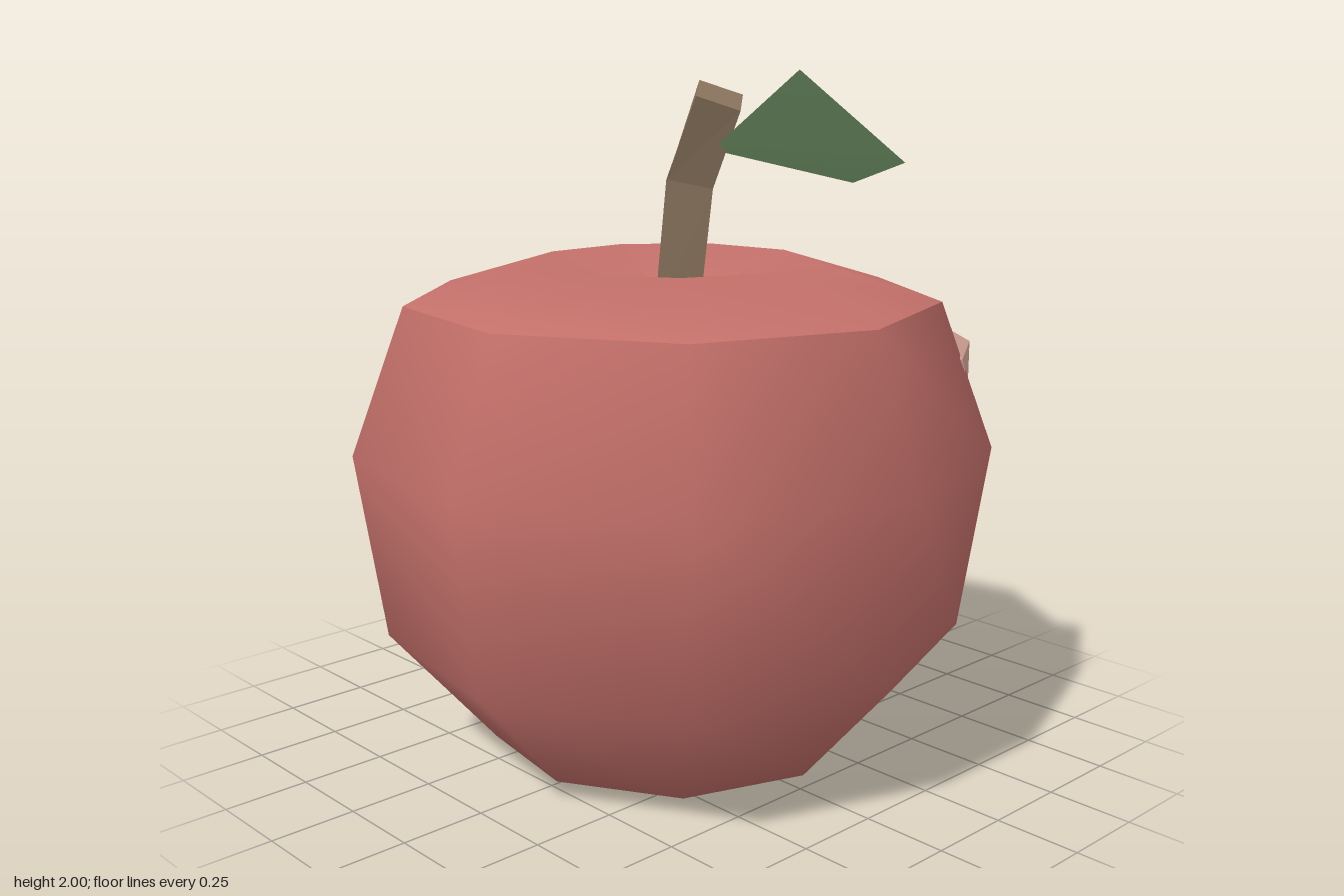
import * as THREE from 'three';
import { ConvexGeometry } from 'three/addons/geometries/ConvexGeometry.js';

const material = (name, color, side = THREE.FrontSide) => {
  const m = new THREE.MeshStandardMaterial({ color, side });
  m.name = name;
  return m;
};

export function createModel() {
  const group = new THREE.Group();
  group.name = 'apple';
  const red = material('apple red', 0xc4706a);
  const brown = material('stem brown', 0x8a745e);
  const green = material('leaf green', 0x88b07c, THREE.DoubleSide);
  const flesh = material('pale flesh', 0xd6a595);

  const add = (name, geometry, mat) => {
    const mesh = new THREE.Mesh(geometry, mat);
    mesh.name = name;
    group.add(mesh);
    return mesh;
  };

  // Nine-sided smooth fruit, with a sharp rim between skin and crown
  const lathe = (points) => new THREE.LatheGeometry(
    points.map(([r, y]) => new THREE.Vector2(r, y)), 9, Math.PI / 2);
  const skin = add('skin', lathe([[0, 0], [0.54, 0.045], [0.845, 0.39], [0.925, 0.93], [0.77, 1.35]]), red);
  const crown = add('crown', lathe([[0.77, 1.35], [0.4, 1.46], [0, 1.31]]), red);
  skin.position.x = crown.position.x = -0.03;

  // Bent stem: diamond sections [left, front/back and right corners as x, y]
  const sections = [
    [[-0.103, 1.28], [-0.013, 1.28], [0.077, 1.28]],
    [[-0.035, 1.72], [0.042, 1.695], [0.135, 1.67]],
    [[0.08, 1.965], [0.16, 1.925], [0.24, 1.885]],
  ];
  const rings = sections.map(([l, m, r]) => [
    [...l, 0], [...m, 0.09], [...r, 0], [...m, -0.09]]);
  const stem = [];
  const quad = (a, b, c, d) => stem.push(...a, ...b, ...c, ...a, ...c, ...d);
  for (let s = 0; s < 2; s++) {
    for (let i = 0; i < 4; i++) {
      const j = (i + 1) % 4;
      quad(rings[s][i], rings[s][j], rings[s + 1][j], rings[s + 1][i]);
    }
  }
  quad(...rings[2]);
  quad(...[...rings[0]].reverse());
  const stemGeometry = new THREE.BufferGeometry();
  stemGeometry.setAttribute('position', new THREE.Float32BufferAttribute(stem, 3));
  stemGeometry.computeVertexNormals();
  add('stem', stemGeometry, brown);

  // Leaf folded along its midrib
  const leaf = new THREE.BufferGeometry();
  leaf.setAttribute('position', new THREE.Float32BufferAttribute([
    0.13, 1.777, 0, 0.66, 2, 0.225, 0.81, 1.775, 0, 0.51, 1.7, -0.155], 3));
  leaf.setIndex([0, 1, 2, 0, 2, 3]);
  leaf.computeVertexNormals();
  add('leaf', leaf, green);

  // Pale faceted chip set into the back of the fruit
  const chip = [
    [0.62, 1.19, -0.52], [0.62, 1.13, -0.54], [0.49, 1.2, -0.725],
    [0.49, 0.96, -0.725], [0.53, 0.96, -0.665], [0.45, 0.95, -0.7],
    [0.34, 1.2, -0.68], [0.44, 1.28, -0.59], [0.42, 1.08, -0.55],
  ].map((p) => new THREE.Vector3(...p));
  add('chip', new ConvexGeometry(chip), flesh);

  return group;
}
